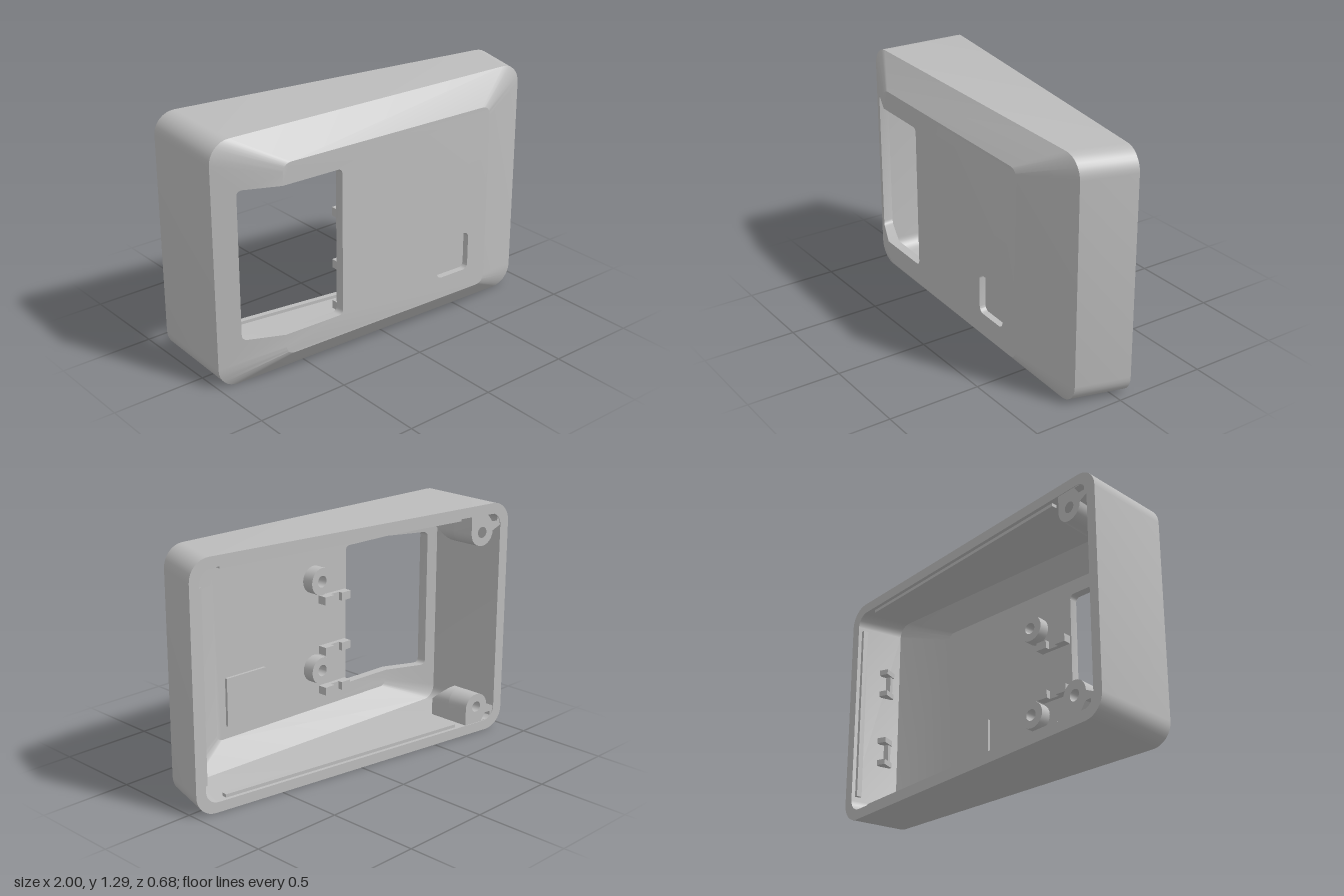
import * as THREE from 'three';
import { mergeGeometries, toCreasedNormals } from 'three/addons/utils/BufferGeometryUtils.js';

const H = 1.295;
const grey = new THREE.MeshStandardMaterial({ color: 0xbcbcbc });
grey.name = 'grey plastic';

// Slanted planes of the housing, as z over x
const zBack = x => -0.345 + (x + 0.98) * 0.144;
const zShoulder = x => 0.15 + (x + 1) * 0.0365;
const zFront = x => 0.3167 + 0.0388 * x;

const N = 8; // segments in a rounded corner

// Rounded rectangle, anticlockwise from the lower left corner
function ring(x0, x1, y0, y1, r, n = N) {
  const out = [];
  [[x0 + r, y0 + r], [x1 - r, y0 + r], [x1 - r, y1 - r], [x0 + r, y1 - r]].forEach(([cx, cy], k) => {
    for (let i = 0; i <= n; i++) {
      const a = Math.PI * (1 + k / 2 + i / n / 2);
      out.push(new THREE.Vector2(cx + r * Math.cos(a), cy + r * Math.sin(a)));
    }
  });
  return out;
}
const lift = (pts, f) => pts.map(p => new THREE.Vector3(p.x, p.y, f(p.x)));

// Band of faces between two loops
function strip(a, b, flip = false, closed = true) {
  const pos = [];
  const count = closed ? a.length : a.length - 1;
  for (let i = 0; i < count; i++) {
    const j = (i + 1) % a.length;
    const quad = [a[i], a[j], b[j], a[i], b[j], b[i]];
    if (flip) quad.reverse();
    quad.forEach(p => pos.push(p.x, p.y, p.z));
  }
  const g = new THREE.BufferGeometry();
  g.setAttribute('position', new THREE.Float32BufferAttribute(pos, 3));
  return g;
}

// Flat panel laid on a slanted plane
function panel(pts, f, flip = false, holes = []) {
  const shape = new THREE.Shape(pts);
  holes.forEach(h => shape.holes.push(new THREE.Path(h)));
  const g = new THREE.ShapeGeometry(shape).toNonIndexed();
  g.deleteAttribute('uv');
  g.deleteAttribute('normal');
  const p = g.attributes.position;
  for (let i = 0; i < p.count; i++) p.setZ(i, f(p.getX(i)));
  if (flip) {
    for (let i = 0; i < p.count; i += 3) {
      const [x, y, z] = [p.getX(i), p.getY(i), p.getZ(i)];
      p.setXYZ(i, p.getX(i + 1), p.getY(i + 1), p.getZ(i + 1));
      p.setXYZ(i + 1, x, y, z);
    }
  }
  return g;
}

// Prism along z whose two ends follow given rules
function prism(pts, holes, fBack, fFront) {
  const shape = new THREE.Shape(pts);
  holes.forEach(h => shape.holes.push(new THREE.Path(h)));
  const g = new THREE.ExtrudeGeometry(shape, { depth: 1, bevelEnabled: false });
  const p = g.attributes.position;
  for (let i = 0; i < p.count; i++) {
    const x = p.getX(i), y = p.getY(i);
    p.setZ(i, p.getZ(i) < 0.5 ? fBack(x, y) : fFront(x, y));
  }
  return toCreasedNormals(g, 0.5);
}
const arc = (cx, cy, r, a0, a1, n) => Array.from({ length: n + 1 }, (_, i) => {
  const a = a0 + (a1 - a0) * i / n;
  return new THREE.Vector2(cx + r * Math.cos(a), cy + r * Math.sin(a));
});
const circle = (cx, cy, r) => arc(cx, cy, r, 0, Math.PI * 2 * 23 / 24, 23);

// Window outline and its four corners
const win = ring(-0.89, -0.345, 0.26, 1.05, 0.025, 4);
const corner = k => win.slice(k * 5, k * 5 + 5);
const back = k => corner(k).reverse();
const V = (x, y) => new THREE.Vector2(x, y);

// One skin of the housing: sides, sloping border and front plate
function skin(A, B, C, fB, fC, flip, holes) {
  const a = lift(A, zBack), b = lift(B, fB), c = lift(C, fC);
  const xb = B[0].x, xc = C[0].x;
  const slope = x => fB(xb) + (x - xb) / (xc - xb) * (fC(xc) - fB(xb));
  const low = V(xc, 0.26), high = V(xc, 1.05);
  const front = [...C, high, ...back(2), ...back(1), low];
  const left = [C[C.length - 1], B[B.length - 1], B[0], C[0], low, ...back(0), ...back(3), high];
  return {
    a,
    z: x => (x < xc ? slope(x) : fC(x)),
    parts: [strip(a, b, flip), strip(b, c, flip, false), panel(front, fC, flip, holes), panel(left, slope, flip)],
  };
}

export function createModel() {
  const model = new THREE.Group();
  const add = (name, g, parent = model) => {
    const m = new THREE.Mesh(g, grey);
    m.name = name;
    parent.add(m);
    return m;
  };
  const box = (name, w, h, d, x, y, z, parent) => {
    const m = add(name, new THREE.BoxGeometry(w, h, d), parent);
    m.position.set(x, y, z);
    return m;
  };

  // Hollow housing
  const recess = ring(0.27, 0.48, 0.265, 0.48, 0.03);
  const inFront = x => zFront(x) - 0.05;
  const outer = skin(ring(-0.98, 1, 0, H, 0.11), ring(-1, 0.92, 0, H, 0.11),
    ring(-0.69, 0.6, 0.145, 1.16, 0.05), zShoulder, zFront, false, [recess]);
  const inner = skin(ring(-0.925, 0.945, 0.055, H - 0.055, 0.07), ring(-0.945, 0.865, 0.055, H - 0.055, 0.07),
    ring(-0.66, 0.57, 0.17, 1.13, 0.04), x => zShoulder(x) - 0.03, inFront, true, []);
  const edge = [...corner(0), V(-0.69, 0.26), V(-0.66, 0.26), ...corner(1),
    ...corner(2), V(-0.66, 1.05), V(-0.69, 1.05), ...corner(3)];
  const floor = x => zFront(x) - 0.035;
  add('housing', toCreasedNormals(mergeGeometries([
    ...outer.parts, ...inner.parts,
    strip(inner.a, outer.a),
    strip(lift(edge, inner.z), lift(edge, outer.z), true),
    strip(lift(recess, floor), lift(recess, zFront), true),
    panel(recess, floor),
  ]), 0.4));

  // Pad behind the button recess
  add('buttonPad', prism([V(0.245, 0.24), V(0.505, 0.24), V(0.505, 0.505), V(0.245, 0.505)], [],
    x => inFront(x) - 0.015, x => inFront(x) + 0.005));

  // Screw posts in the two deep corners
  const yHole = 0.15;
  const outline = [V(-0.94, 0.05), V(-0.725, 0.05), ...arc(-0.8, yHole, 0.075, 0, Math.PI, 12), V(-0.94, 0.12)];
  const screw = circle(-0.8, yHole, 0.03);
  const pocket = [V(-0.905, 0.06), V(-0.84, 0.06), V(-0.87, 0.1), V(-0.905, 0.1)];
  for (const top of [false, true]) {
    const fy = y => (top ? H - y : y);
    const m = pts => pts.map(p => V(p.x, fy(p.y)));
    const tip = (x, y) => -0.06 - Math.max(0, fy(y) - yHole) * 1.1;
    const name = top ? 'upper' : 'lower';
    add(name + 'ScrewPost', prism(m(outline), [m(screw), m(pocket)], x => zBack(x) + 0.004, () => -0.18));
    add(name + 'ScrewPostTip', prism(m(outline), [], () => -0.18, tip));
  }

  // Ring standoffs behind the front plate
  for (const y of [0.41, 0.91]) {
    add('standoff', prism(circle(-0.11, y, 0.075), [circle(-0.11, y, 0.032)],
      () => inFront(-0.11) - 0.065, x => inFront(x) + 0.005));
  }

  // U-shaped holders beside the window
  for (const y of [0.275, 0.505, 0.79]) {
    const holder = new THREE.Group();
    holder.name = 'holder';
    holder.position.set(-0.24, y, inFront(-0.24));
    box('holderBase', 0.19, 0.045, 0.03, 0, 0, -0.01, holder);
    for (const s of [-1, 1]) box('holderProng', 0.065, 0.045, 0.055, s * 0.0625, 0, -0.0225, holder);
    model.add(holder);
  }

  // Clips on the inside of the shallow end wall
  for (const y of [0.43, 0.845]) {
    const clip = new THREE.Group();
    clip.name = 'clip';
    clip.position.set(0.89, y, 0.1);
    clip.rotation.y = 0.28;
    box('clipBar', 0.04, 0.15, 0.025, -0.01, 0, 0.02, clip);
    for (const s of [-1, 1]) box('clipTab', 0.05, 0.03, 0.075, -0.012, s * 0.065, 0, clip);
    model.add(clip);
  }

  // Locating ribs just inside the rear rim
  const ribs = new THREE.Group();
  ribs.name = 'rimRibs';
  ribs.position.set(0, 0, zBack(0));
  ribs.rotation.y = -Math.atan(0.144);
  for (const y of [0.06, H - 0.06]) box('longRib', 1.5, 0.025, 0.03, 0.08, y, 0.035, ribs);
  box('endRib', 0.025, 1.0, 0.03, 0.945, H / 2, 0.035, ribs);
  model.add(ribs);

  return model;
}
